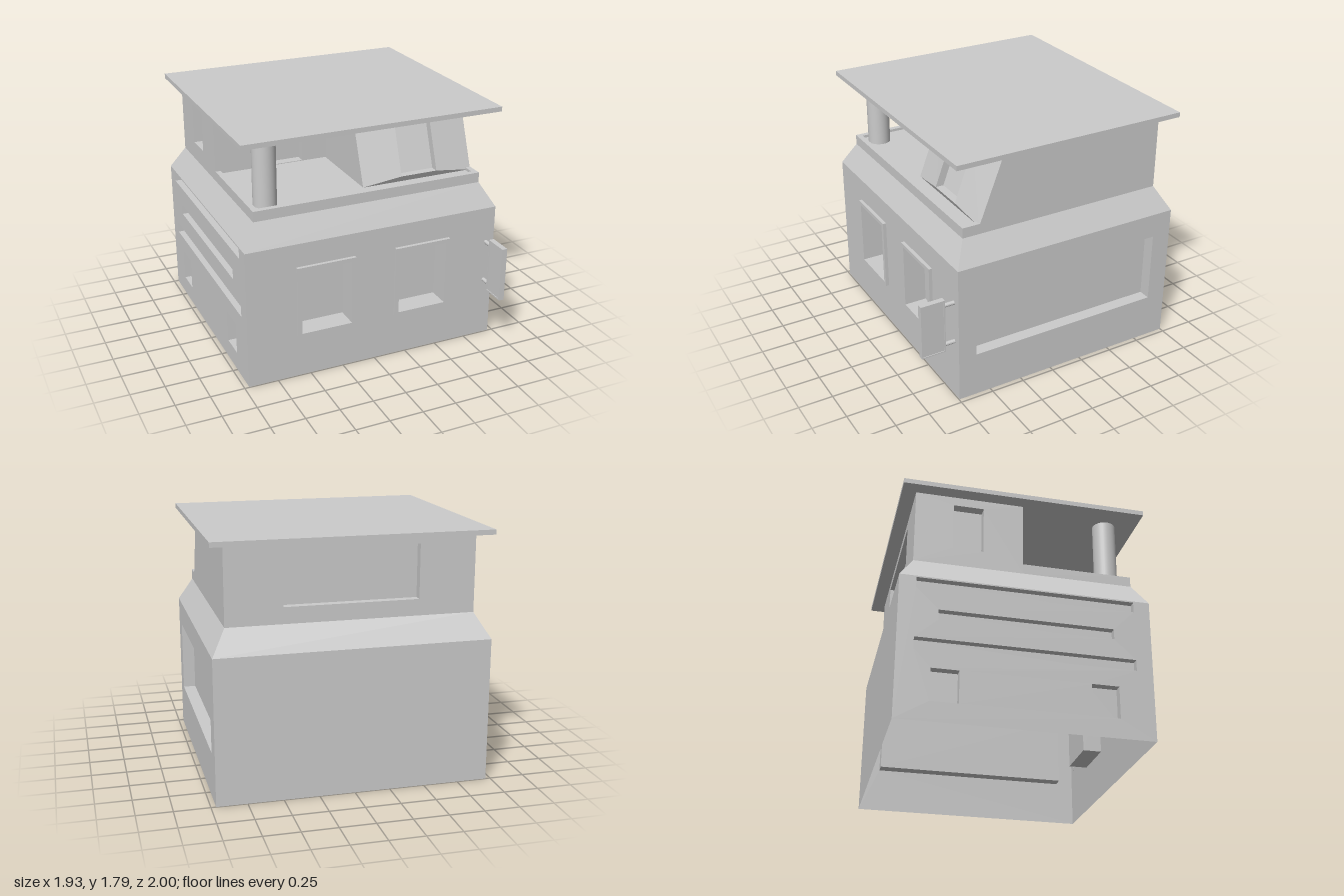
import * as THREE from 'three';

const material = new THREE.MeshStandardMaterial({ color: 0xcccccc, side: THREE.DoubleSide, flatShading: true });

function add(parent, name, geometry, x = 0, y = 0, z = 0) {
  const mesh = new THREE.Mesh(geometry, material);
  mesh.name = name;
  mesh.position.set(x, y, z);
  parent.add(mesh);
  return mesh;
}

// Box given by its limits on each axis
function block(parent, name, x0, x1, y0, y1, z0, z1) {
  return add(parent, name, new THREE.BoxGeometry(x1 - x0, y1 - y0, z1 - z0),
    (x0 + x1) / 2, (y0 + y1) / 2, (z0 + z1) / 2);
}

const rect = (u0, u1, v0, v1) => [[u0, v0], [u1, v0], [u1, v1], [u0, v1]];
const toPoints = (list) => list.map(([u, v]) => new THREE.Vector2(u, v));

// Flat wall facing local +z, with openings [u0, u1, v0, v1, depth] that become recesses
function wall(parent, name, outline, openings, angle, x, z) {
  const group = new THREE.Group();
  group.name = name;
  group.rotation.y = angle;
  group.position.set(x, 0, z);
  const shape = new THREE.Shape(toPoints(outline));
  for (const [u0, u1, v0, v1, depth] of openings) {
    shape.holes.push(new THREE.Path(toPoints(rect(u0, u1, v0, v1))));
    const niche = block(group, name + 'Recess', u0, u1, v0, v1, -depth, 0);
    const index = [...niche.geometry.index.array];
    index.splice(24, 6); // leave the front of the recess open
    niche.geometry.setIndex(index);
  }
  add(group, name + 'Surface', new THREE.ShapeGeometry(shape));
  parent.add(group);
}

// Bands of quads joining closed four-cornered rings
function bands(rings) {
  const index = [];
  for (let r = 0; r < rings.length - 1; r++) {
    for (let i = 0; i < 4; i++) {
      const a = r * 4 + i, b = r * 4 + (i + 1) % 4;
      index.push(a, b, b + 4, a, b + 4, a + 4);
    }
  }
  const geometry = new THREE.BufferGeometry();
  geometry.setAttribute('position', new THREE.Float32BufferAttribute(rings.flat(2), 3));
  geometry.setIndex(index);
  const flat = geometry.toNonIndexed();
  flat.computeVertexNormals();
  return flat;
}

export function createModel() {
  const model = new THREE.Group();
  model.name = 'shopBuilding';
  const Q = Math.PI / 2;
  const W = 0.965, F = 0.745, B = -1, H = 1.03;          // lower storey
  const w = 0.865, f = 0.655, b = -0.9, top = 1.755;     // upper storey
  const shoulder = 1.205, rail = 1.28, deck = 1.26, inner = -0.13;

  // Lower storey, open underneath
  const windows = [[-0.57, -0.19, 0.345, 0.83], [0.18, 0.555, 0.345, 0.83]];
  wall(model, 'frontWall', rect(-W, W, 0, H), windows.map((o) => [...o, 0.14]), 0, 0, F);
  wall(model, 'backWall', rect(-W, W, 0, H), [], Math.PI, 0, B);
  wall(model, 'rightSideWall', rect(-F, -B, 0, H), [[-0.61, 0.855, 0.33, 0.85, 0.09]], Q, W, 0);
  wall(model, 'slottedSideWall', rect(B, F, 0, H), [
    [-0.885, 0.63, 0.945, 1.02, 0.05],
    [-0.73, 0.48, 0.72, 0.795, 0.05],
    [-0.885, 0.63, 0.5, 0.58, 0.05],
    [-0.77, -0.58, 0.14, 0.37, 0.06],
    [0.31, 0.5, 0.14, 0.37, 0.06],
  ], -Q, -W, 0);

  // Front window frames
  for (const [u0, u1, v0, v1] of windows) {
    const frame = new THREE.Shape(toPoints(rect(u0 - 0.03, u1 + 0.03, v0 - 0.025, v1 + 0.027)));
    frame.holes.push(new THREE.Path(toPoints(rect(u0, u1, v0, v1))));
    add(model, 'windowFrame', new THREE.ExtrudeGeometry(frame, { depth: 0.025, bevelEnabled: false }), 0, 0, F);
  }

  // Sloping shoulder between the storeys
  const level = (x, y, z0, z1) => [[-x, y, z1], [x, y, z1], [x, y, z0], [-x, y, z0]];
  add(model, 'shoulder', bands([level(W, H, B, F), level(w, shoulder, b, f)]));

  // Upper storey walls
  wall(model, 'upperBackWall', rect(-w, w, shoulder, top), [[-0.47, 0.47, 1.32, 1.7, 0.06]], Math.PI, 0, b);
  wall(model, 'upperRightWall',
    [[-0.53, shoulder], [-b, shoulder], [-b, top], [-0.34, top], [-0.523, rail], [-0.53, rail]], [], Q, w, 0);
  wall(model, 'upperLeftWall', rect(b, inner, shoulder, top), [[-0.63, -0.415, 1.34, 1.69, 0.07]], -Q, -w, 0);
  wall(model, 'terraceWall', rect(-w, 0, deck, top), [[-0.45, -0.19, 1.265, 1.615, 0.07]], 0, 0, inner);
  wall(model, 'terraceSideWall', [[inner, deck], [0.53, deck], [0.34, top], [inner, top]], [], -Q, 0, 0);

  // Leaning facade that swells out to a recessed window
  const sill = 1.305, head = 1.69;
  const rim = (dz) => [[0.29, sill, 0.553 + dz], [0.57, sill, 0.553 + dz],
    [0.57, head, 0.41 + dz], [0.29, head, 0.41 + dz]];
  const pane = rim(-0.06);
  const centre = [0.43, (sill + head) / 2, 0.4215];
  add(model, 'leaningFacade', bands([
    [[0, deck, 0.53], [w, deck, 0.53], [w, top, 0.34], [0, top, 0.34]],
    rim(0), pane, [centre, centre, centre, centre],
  ]));

  // Terrace floor and parapet
  const floor = new THREE.Shape(toPoints([[-w, -f], [w, -f], [w, -0.53], [0, -0.53], [0, -inner], [-w, -inner]]));
  add(model, 'terraceFloor', new THREE.ShapeGeometry(floor).rotateX(-Q), 0, deck, 0);
  block(model, 'frontParapet', -w, w, shoulder, rail, f - 0.04, f);
  block(model, 'leftParapet', -w, -w + 0.04, shoulder, rail, inner, f - 0.04);
  block(model, 'rightParapet', w - 0.04, w, shoulder, rail, 0.53, f - 0.04);

  // Round column carrying the roof corner
  const column = add(model, 'column', new THREE.CylinderGeometry(0.083, 0.083, top - deck, 32), -0.73, (top + deck) / 2, 0.518);
  column.material = new THREE.MeshStandardMaterial({ color: 0xcccccc });

  // Flat roof
  block(model, 'roof', -W, W, top, 1.79, B, F);

  // Blank hanging sign on two rods
  const sign = new THREE.Group();
  sign.name = 'hangingSign';
  model.add(sign);
  block(sign, 'signPanel', 0.885, 0.915, 0.41, 0.8, 0.83, 0.99);
  const border = new THREE.Shape(toPoints(rect(-1, -0.82, 0.4, 0.81)));
  border.holes.push(new THREE.Path(toPoints(rect(-0.99, -0.83, 0.41, 0.8))));
  add(sign, 'signBorder', new THREE.ExtrudeGeometry(border, { depth: 0.04, bevelEnabled: false }), 0.88, 0, 0).rotation.y = Q;
  for (const y of [0.45, 0.76]) {
    add(sign, 'signRod', new THREE.CylinderGeometry(0.015, 0.015, 0.08, 12).rotateX(Q), 0.9, y, 0.783);
  }
  return model;
}
